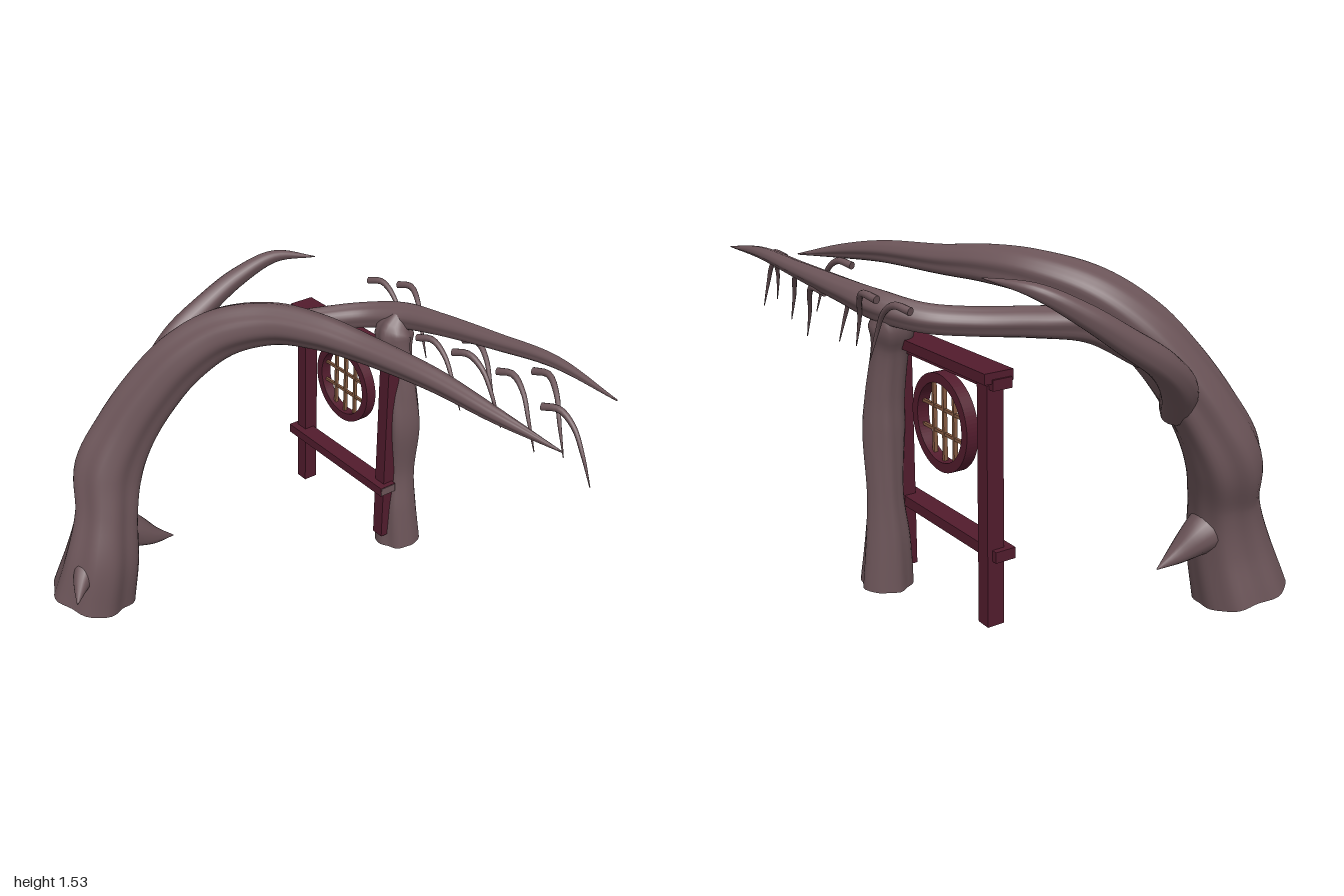
import * as THREE from 'three';

const mat = (name, color) => {
  const m = new THREE.MeshStandardMaterial({ color });
  m.name = name;
  return m;
};

// Tapering, ridged limb swept along points [x, y, z, radius], with a flat cap at its start
function limbGeometry(points, segs, sides, ridge) {
  const curve = new THREE.CatmullRomCurve3(points.map(p => new THREE.Vector3(p[0], p[1], p[2])));
  const radii = new THREE.CatmullRomCurve3(points.map(p => new THREE.Vector3(p[3], 0, 0)), false, 'catmullrom');
  const { normals, binormals } = curve.computeFrenetFrames(segs, false);
  const pos = [], index = [], v = new THREE.Vector3();
  const ring = i => {
    const t = curve.getUtoTmapping(i / segs);
    const c = curve.getPoint(t);
    const r = Math.max(radii.getPoint(t).x, 0.001);
    for (let j = 0; j < sides; j++) {
      const a = (j / sides) * Math.PI * 2;
      const twist = a + t * 0.8;
      const k = r * (1 + ridge * (0.6 * Math.sin(5 * twist) + 0.4 * Math.sin(8 * twist + 1) + 0.3 * Math.sin(3 * a + t * 9)));
      v.copy(c).addScaledVector(normals[i], k * Math.cos(a)).addScaledVector(binormals[i], k * Math.sin(a));
      pos.push(v.x, v.y, v.z);
    }
  };
  for (let i = 0; i <= segs; i++) ring(i);
  for (let i = 0; i < segs; i++) {
    for (let j = 0; j < sides; j++) {
      const a = i * sides + j, b = i * sides + (j + 1) % sides;
      index.push(a, b, a + sides, b, b + sides, a + sides);
    }
  }
  // start cap on its own ring so that the edge stays sharp
  const base = pos.length / 3;
  ring(0);
  pos.push(points[0][0], points[0][1], points[0][2]);
  for (let j = 0; j < sides; j++) index.push(base + sides, base + (j + 1) % sides, base + j);
  const g = new THREE.BufferGeometry();
  g.setAttribute('position', new THREE.Float32BufferAttribute(pos, 3));
  g.setIndex(index);
  g.computeVertexNormals();
  return g;
}

export function createModel() {
  const model = new THREE.Group();
  const bark = mat('bark', 0x6b5458);
  const lacquer = mat('dark red lacquer', 0x521c2d);
  const wood = mat('brown wood', 0x855b42);

  const add = (parent, name, geometry, material) => {
    const m = new THREE.Mesh(geometry, material);
    m.name = name;
    parent.add(m);
    return m;
  };
  const limb = (name, points, segs = 40, sides = 32, ridge = 0.07) =>
    add(model, name, limbGeometry(points, segs, sides, ridge), bark);
  // box given by its min and max corners
  const box = (parent, name, material, x0, x1, y0, y1, z0, z1) =>
    add(parent, name, new THREE.BoxGeometry(x1 - x0, y1 - y0, z1 - z0), material)
      .position.set((x0 + x1) / 2, (y0 + y1) / 2, (z0 + z1) / 2);

  // Great leaning trunk that bends into the front bough
  limb('mainTrunk', [
    [-0.805, 0.06, 0.65, 0.195], [-0.775, 0.28, 0.60, 0.17], [-0.79, 0.5, 0.545, 0.142],
    [-0.83, 0.7, 0.49, 0.152], [-0.80, 0.9, 0.39, 0.135], [-0.74, 1.08, 0.28, 0.125],
    [-0.66, 1.24, 0.16, 0.118], [-0.54, 1.37, 0.02, 0.105], [-0.36, 1.44, -0.12, 0.088],
    [-0.16, 1.455, -0.21, 0.074], [0.05, 1.445, -0.28, 0.06], [0.4, 1.43, -0.355, 0.046],
    [0.7, 1.39, -0.41, 0.03], [0.98, 1.34, -0.485, 0.003]], 90, 48);

  // Bough reaching back over the gate, then sweeping sideways
  limb('backBough', [
    [-0.72, 1.17, 0.14, 0.07], [-0.63, 1.28, -0.05, 0.068], [-0.55, 1.305, -0.25, 0.06],
    [-0.46, 1.32, -0.47, 0.055], [-0.36, 1.335, -0.62, 0.055], [-0.2, 1.365, -0.715, 0.058],
    [0.0, 1.39, -0.755, 0.048], [0.3, 1.42, -0.795, 0.036], [0.6, 1.445, -0.825, 0.025],
    [0.93, 1.42, -0.825, 0.003]], 70, 32);

  // Smaller rear trunk under the bough
  limb('rearTrunk', [
    [-0.14, 0.2, -0.695, 0.105], [-0.15, 0.4, -0.69, 0.09], [-0.155, 0.6, -0.695, 0.072],
    [-0.14, 0.85, -0.685, 0.082], [-0.15, 1.0, -0.68, 0.075], [-0.185, 1.2, -0.67, 0.07],
    [-0.21, 1.3, -0.675, 0.085], [-0.2, 1.38, -0.7, 0.04]], 50, 32);

  // Curved horn-like side branch
  limb('sideBranch', [
    [-0.76, 0.92, 0.28, 0.07], [-0.87, 1.06, 0.18, 0.072], [-0.935, 1.18, 0.04, 0.06],
    [-0.935, 1.3, -0.14, 0.052], [-0.9, 1.41, -0.3, 0.043], [-0.82, 1.5, -0.45, 0.028],
    [-0.65, 1.53, -0.56, 0.002]], 44, 24, 0.04);

  // Thorny stubs near the foot
  limb('frontThorn', [[-0.76, 0.3, 0.66, 0.07], [-0.69, 0.25, 0.745, 0.045], [-0.58, 0.21, 0.835, 0.002]], 12, 16, 0.04);
  limb('backThorn', [[-0.78, 0.4, 0.56, 0.12], [-0.77, 0.35, 0.44, 0.085], [-0.755, 0.285, 0.33, 0.045],
    [-0.75, 0.24, 0.22, 0.002]], 16, 20, 0.04);

  // Drooping twigs: start x, y, z and end z
  const twigs = [
    [-0.51, 1.41, -0.765, -0.785], [-0.36, 1.43, -0.815, -0.76], [-0.02, 1.355, -0.64, -0.66],
    [0.12, 1.36, -0.78, -0.735], [0.26, 1.42, -0.585, -0.62], [0.41, 1.36, -0.70, -0.67],
    [0.57, 1.42, -0.735, -0.66], [0.72, 1.36, -0.64, -0.66]];
  for (const [x, y, z, zEnd] of twigs) {
    const zAt = f => z + (zEnd - z) * f;
    limb('twig', [
      [x, y, z, 0.016], [x + 0.07, y + 0.012, zAt(0.1) - 0.02, 0.014], [x + 0.15, y - 0.03, zAt(0.45) - 0.015, 0.011],
      [x + 0.22, y - 0.12, zAt(0.8), 0.008], [x + 0.275, y - 0.24, zEnd, 0.002]], 18, 10, 0);
  }

  // Wooden gate frame
  const gate = new THREE.Group();
  gate.name = 'gate';
  model.add(gate);
  const cx = -0.455;
  for (const s of [-1, 1]) {
    const x = cx + s * 0.31;
    box(gate, 'post', lacquer, x - 0.031, x + 0.031, 0.265, 1.19, -0.64, -0.57);
  }
  box(gate, 'topBeam', lacquer, -0.812, -0.098, 1.2, 1.24, -0.66, -0.54);
  box(gate, 'underBeam', lacquer, -0.82, -0.09, 1.175, 1.215, -0.63, -0.55);
  box(gate, 'lowerRail', lacquer, -0.82, -0.09, 0.527, 0.57, -0.62, -0.535);
  // bare end grain
  box(gate, 'topBeamEnd', wood, -0.098, -0.094, 1.2, 1.238, -0.658, -0.542);
  box(gate, 'underBeamEnd', wood, -0.09, -0.087, 1.177, 1.213, -0.628, -0.552);
  box(gate, 'lowerRailEnd', bark, -0.09, -0.087, 0.529, 0.568, -0.618, -0.537);

  // Round lattice window
  const cy = 0.957, cz = -0.6, outer = 0.19, inner = 0.153;
  const ringShape = new THREE.Shape().absarc(0, 0, outer, 0, Math.PI * 2, false);
  ringShape.holes.push(new THREE.Path().absarc(0, 0, inner, 0, Math.PI * 2, true));
  const ringGeo = new THREE.ExtrudeGeometry(ringShape, { depth: 0.05, bevelEnabled: false, curveSegments: 40 });
  add(gate, 'windowRing', ringGeo, lacquer).position.set(cx, cy, cz - 0.025);
  for (const d of [-0.07, 0, 0.07]) {
    const h = Math.sqrt(inner * inner - d * d) + 0.008;
    box(gate, 'latticeUpright', wood, cx + d - 0.006, cx + d + 0.006, cy - h, cy + h, cz - 0.008, cz + 0.008);
  }
  for (const d of [-0.047, 0.047]) {
    const h = Math.sqrt(inner * inner - d * d) + 0.008;
    box(gate, 'latticeBar', wood, cx - h, cx + h, cy + d - 0.006, cy + d + 0.006, cz - 0.006, cz + 0.006);
  }
  return model;
}
